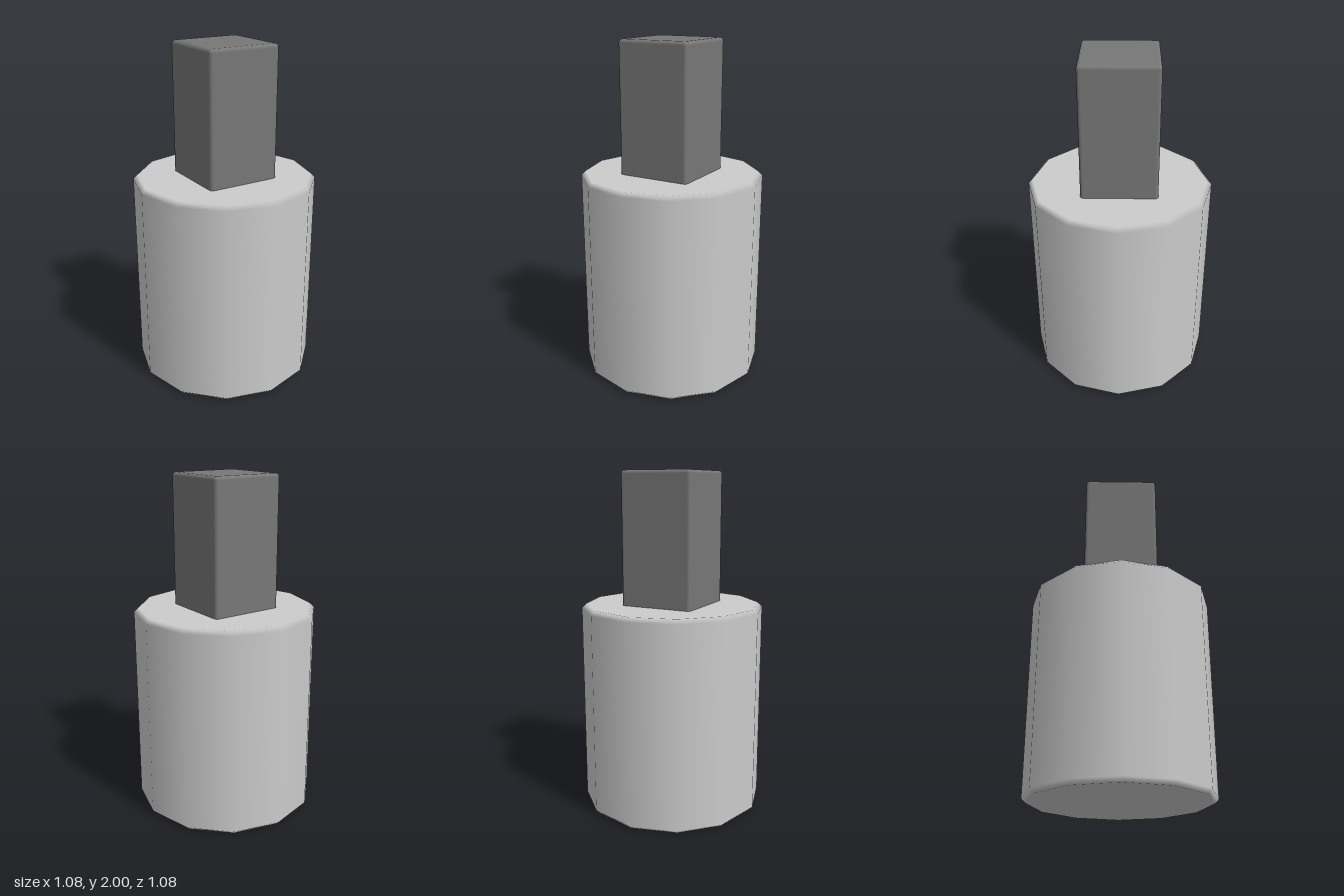
import * as THREE from 'three';
import { RoundedBoxGeometry } from 'three/addons/geometries/RoundedBoxGeometry.js';

const SIDES = 12;
const RADIUS = 0.54;
const BODY_HEIGHT = 1.23;
const TOP = 2;
const BEVEL = 0.025;

// Twelve-sided drum: flat caps and a smooth wall, blended across narrow bevels
function bodyGeometry() {
  const inner = RADIUS - BEVEL;
  const profile = [
    [0, 0], [inner, 0], [RADIUS, BEVEL],
    [RADIUS, BODY_HEIGHT - BEVEL], [inner, BODY_HEIGHT], [0, BODY_HEIGHT],
  ].map(([x, y]) => new THREE.Vector2(x, y));
  const geometry = new THREE.LatheGeometry(profile, SIDES);

  const { position, normal } = geometry.attributes;
  for (let i = 0; i < position.count; i++) {
    const ring = i % profile.length;
    if (ring < 2) normal.setXYZ(i, 0, -1, 0);
    else if (ring > 3) normal.setXYZ(i, 0, 1, 0);
    else normal.setXYZ(i, position.getX(i) / RADIUS, 0, position.getZ(i) / RADIUS);
  }
  return geometry;
}

export function createModel() {
  const group = new THREE.Group();

  const body = new THREE.Mesh(
    bodyGeometry(),
    new THREE.MeshStandardMaterial({ color: 0xcccccc })
  );
  body.name = 'body';
  group.add(body);

  // Square post, slightly sunk into the body so its lower rounding is hidden
  const bottom = BODY_HEIGHT - 0.03;
  const post = new THREE.Mesh(
    new RoundedBoxGeometry(0.44, TOP - bottom, 0.44, 2, 0.02),
    new THREE.MeshStandardMaterial({ color: 0x777777 })
  );
  post.name = 'post';
  post.position.y = (TOP + bottom) / 2;
  group.add(post);

  return group;
}
